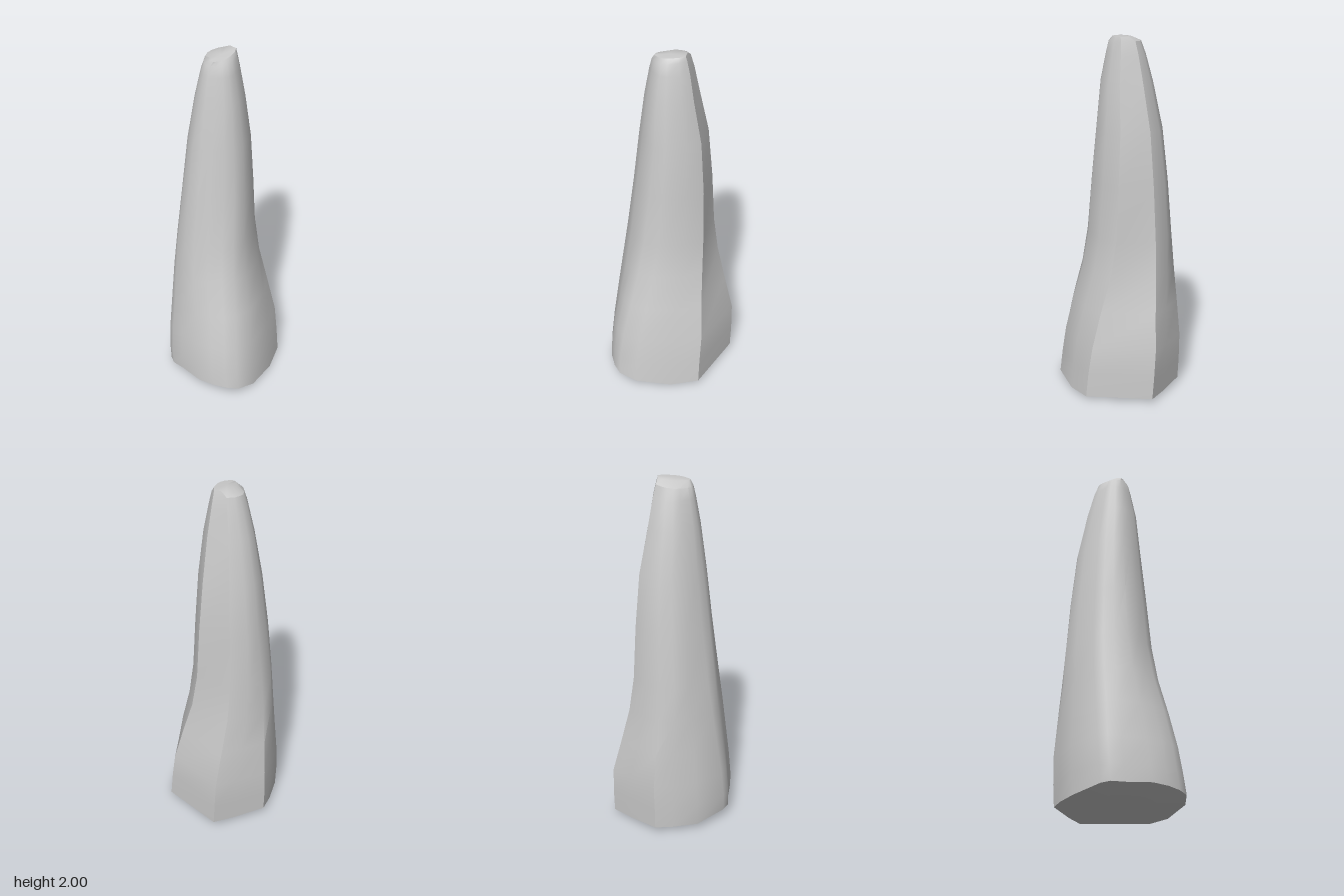
import * as THREE from 'three';
import { toCreasedNormals } from 'three/addons/utils/BufferGeometryUtils.js';

// Outlines [x, z], running back -> left -> front -> right, stretched to each level's extents
const BASE = [[-0.125, -0.34], [0.23, -0.22], [0.29, -0.07], [0.325, 0.13], [0.3, 0.235],
  [0.25, 0.28], [0.18, 0.315], [0.09, 0.338], [-0.05, 0.32], [-0.125, 0.318],
  [-0.17, 0.29], [-0.28, 0.14], [-0.315, 0], [-0.325, -0.1], [-0.21, -0.24]];
const UPPER = [[-0.45, -1], [0.45, -0.98], [0.82, -0.6], [1, 0], [0.95, 0.35],
  [0.78, 0.6], [0.5, 0.82], [0.2, 1], [-0.1, 0.98], [-0.35, 0.9],
  [-0.55, 0.72], [-0.85, 0.3], [-1, -0.05], [-0.95, -0.4], [-0.8, -0.72]];

// Levels: y, xMin, xMax, zMin, zMax, blend from base outline to upper outline
const LEVELS = [
  [0, -0.32, 0.325, -0.335, 0.338, 0],
  [0.15, -0.325, 0.31, -0.338, 0.338, 0],
  [0.3, -0.325, 0.29, -0.335, 0.325, 0.05],
  [0.5, -0.31, 0.25, -0.285, 0.3, 0.3],
  [0.7, -0.3, 0.2, -0.24, 0.275, 0.6],
  [0.9, -0.29, 0.17, -0.215, 0.25, 0.8],
  [1.2, -0.265, 0.15, -0.2, 0.215, 0.9],
  [1.5, -0.23, 0.125, -0.175, 0.18, 1],
  [1.75, -0.18, 0.1, -0.13, 0.145, 1],
  [1.9, -0.14, 0.07, -0.105, 0.118, 1],
  [1.965, -0.115, 0.055, -0.088, 0.105, 1],
  [1.99, -0.06, 0.035, -0.08, 0.09, 1],
];

function crossSection([y, x0, x1, z0, z1, blend]) {
  const pts = BASE.map(([x, z], i) => [
    THREE.MathUtils.lerp(x / 0.325, UPPER[i][0], blend),
    THREE.MathUtils.lerp(z / 0.339, UPPER[i][1], blend),
  ]);
  const xs = pts.map((p) => p[0]), zs = pts.map((p) => p[1]);
  const fit = (v, list, a, b) =>
    THREE.MathUtils.mapLinear(v, Math.min(...list), Math.max(...list), a, b);
  return pts.map(([px, pz], i) => {
    const x = fit(px, xs, x0, x1), z = fit(pz, zs, z0, z1);
    let h = y;
    // Uneven underside and a crown that slopes down to the front
    if (y === 0) h = Math.max(z > 0 ? z * 0.18 : -z * 0.06, -x * 0.09);
    else if (y > 1.95) h = y - 0.1 * z;
    // Faint weathering of the faces
    const worn = 1 + 0.012 * Math.sin(i * 2.4 + y * 5) * Math.sin(y * Math.PI / 2);
    return new THREE.Vector3(x * worn, h, z * worn);
  });
}

function stoneGeometry() {
  const rings = LEVELS.map(crossSection);
  const n = BASE.length;
  const positions = [];
  const tri = (...corners) => corners.forEach((v) => positions.push(v.x, v.y, v.z));
  const middle = (ring) =>
    ring.reduce((sum, v) => sum.add(v), new THREE.Vector3()).divideScalar(n);
  const bottom = new THREE.Vector3(0, 0, 0);
  const top = middle(rings.at(-1));
  top.y += 0.003;

  for (let i = 0; i < n; i++) {
    const j = (i + 1) % n;
    for (let k = 0; k < rings.length - 1; k++) {
      const a = rings[k], b = rings[k + 1];
      tri(a[i], b[i], a[j]);
      tri(a[j], b[i], b[j]);
    }
    tri(bottom, rings[0][i], rings[0][j]);
    tri(top, rings.at(-1)[j], rings.at(-1)[i]);
  }
  const geometry = new THREE.BufferGeometry();
  geometry.setAttribute('position', new THREE.Float32BufferAttribute(positions, 3));
  return toCreasedNormals(geometry, THREE.MathUtils.degToRad(38));
}

export function createModel() {
  const group = new THREE.Group();
  group.name = 'standingStone';
  const stone = new THREE.Mesh(
    stoneGeometry(),
    new THREE.MeshStandardMaterial({ color: 0xcccccc }),
  );
  stone.name = 'stone';
  group.add(stone);
  return group;
}
